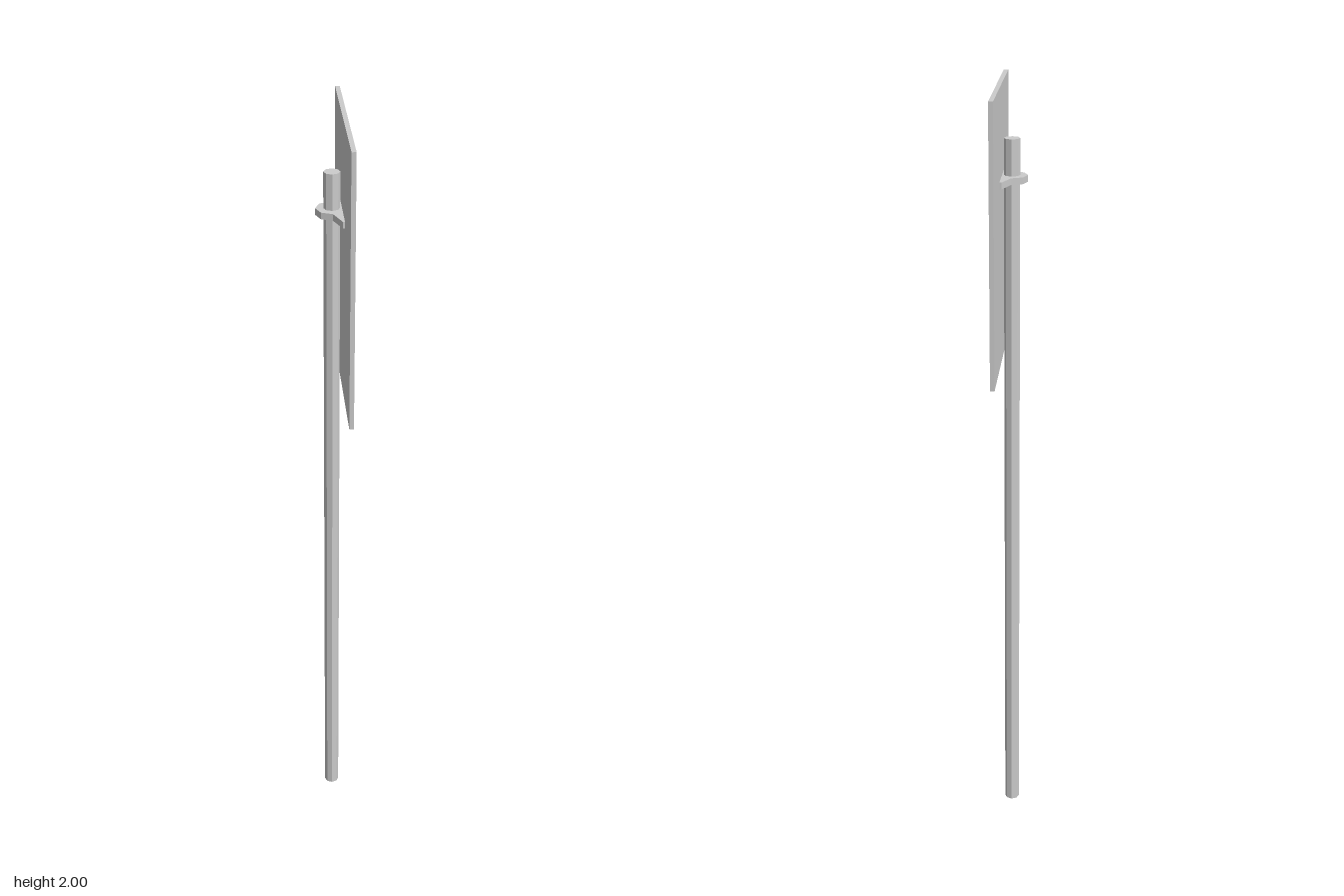
import * as THREE from 'three';

const POLE_X = 0.001, POLE_Z = 0.0045, POLE_R = 0.0195;

export function createModel() {
  const model = new THREE.Group();
  const grey = new THREE.MeshStandardMaterial({ color: 0xcccccc, flatShading: true });
  const red = new THREE.MeshStandardMaterial({ color: 0xcc1111 });

  const add = (name, geometry, material, x, y, z) => {
    const mesh = new THREE.Mesh(geometry, material);
    mesh.name = name;
    mesh.position.set(x, y, z);
    model.add(mesh);
    return mesh;
  };

  // Octagonal post
  const poleH = 1.877;
  add('pole', new THREE.CylinderGeometry(POLE_R, POLE_R, poleH, 8), grey, POLE_X, poleH / 2, POLE_Z);

  // Clamp: half octagon around the post, flaring to a flange behind the plate
  const half = [[-0.0385, 0], [-0.0272, 0.0272], [0, 0.0385], [0.0185, 0.084], [0.0235, 0.084]];
  const mirrored = half.slice(1).reverse().map(([x, y]) => [x, -y]);
  const outline = [...half, ...mirrored].map(([x, y]) => new THREE.Vector2(x, y));
  const clamp = new THREE.Shape(outline);
  const hole = [];
  for (let i = 0; i < 8; i++) {
    const a = (i * Math.PI) / 4;
    hole.push(new THREE.Vector2(Math.cos(a) * POLE_R, Math.sin(a) * POLE_R));
  }
  clamp.holes.push(new THREE.Path(hole));
  const clampGeo = new THREE.ExtrudeGeometry(clamp, { depth: 0.016, bevelEnabled: false });
  clampGeo.rotateX(-Math.PI / 2);
  add('clamp', clampGeo, grey, POLE_X, 1.774, POLE_Z);

  // Sign plate, facing +x
  const w = 0.441, bottom = 1.325, h = 2 - bottom, midY = bottom + h / 2;
  add('signPlate', new THREE.BoxGeometry(0.011, h, w), grey, 0.0315, midY, 0);

  // Red border lying on the plate's face
  const rect = (Type, rw, rh) => new Type([
    new THREE.Vector2(-rw / 2, -rh / 2), new THREE.Vector2(rw / 2, -rh / 2),
    new THREE.Vector2(rw / 2, rh / 2), new THREE.Vector2(-rw / 2, rh / 2),
  ]);
  const border = rect(THREE.Shape, w, h);
  border.holes.push(rect(THREE.Path, w - 0.042, h - 0.042));
  const borderGeo = new THREE.ShapeGeometry(border);
  borderGeo.rotateY(Math.PI / 2);
  add('signBorder', borderGeo, red, 0.0375, midY, 0);

  return model;
}
